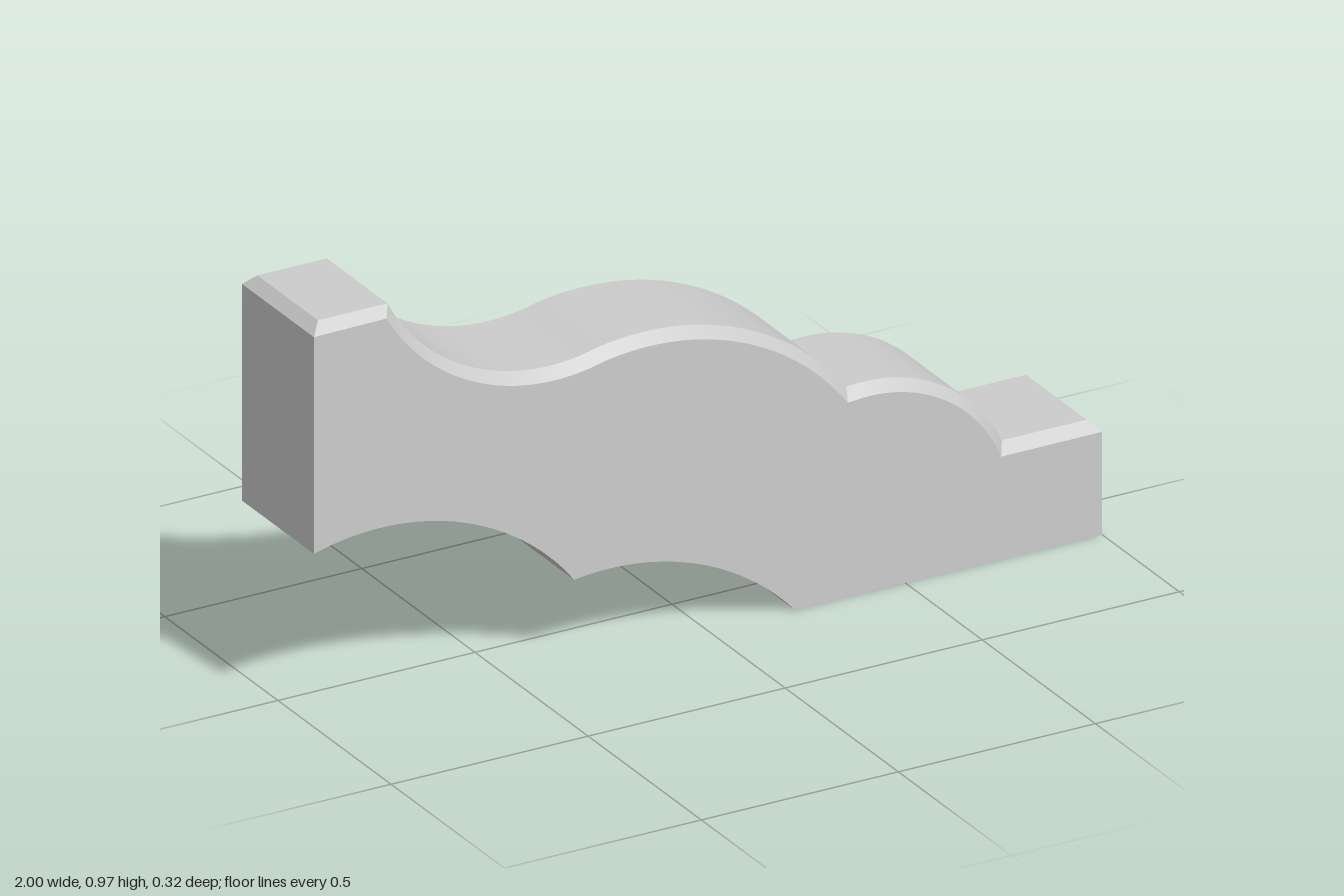
import * as THREE from 'three';
import { toCreasedNormals } from 'three/addons/utils/BufferGeometryUtils.js';

const HALF = 0.159;   // half thickness
const BEVEL = 0.025;  // chamfer along the upper edge

// Points on a circle's upper (side 1) or lower (side -1) half, from x0 to x1
function arc(cx, cy, r, x0, x1, side = 1, n = 28) {
  const a0 = Math.acos((x0 - cx) / r), a1 = Math.acos((x1 - cx) / r);
  return Array.from({ length: n + 1 }, (_, i) => {
    const a = a0 + (a1 - a0) * i / n;
    return [cx + r * Math.cos(a), cy + side * r * Math.sin(a)];
  });
}

// Upper profile, left to right: hollow, large round, small round, with flats at both ends
function topProfile(inset, endX, breaks) {
  const [x0, x1, x2, x3] = breaks;
  return [
    [-endX, 0.973 - inset],
    ...arc(-0.39, 1.186, 0.461 + inset, x0, x1, -1),
    ...arc(-0.15, 0.10, 0.652 - inset, x1, x2).slice(1),
    ...arc(0.41, 0.115, 0.385 - inset, x2, x3).slice(1),
    [endX, 0.275 - inset],
  ];
}

export function createModel() {
  const top = topProfile(0, 1 - BEVEL, [-0.799, -0.291, 0.365, 0.76]);
  const rim = topProfile(BEVEL, 1, [-0.815, -0.285, 0.355, 0.744]);

  // Ends and scalloped underside, right to left
  const under = [
    rim[rim.length - 1],
    [1, 0],
    ...arc(-0.25, -0.421, 0.631, 0.22, -0.34),
    ...arc(-0.83, -0.175, 0.62, -0.34, -1).slice(1),
    rim[0],
  ];

  const pos = [];
  // Band of quads joining a row at depth zA to a row at depth zB
  function strip(rowA, zA, rowB, zB) {
    for (let i = 0; i < rowA.length - 1; i++) {
      const a = [...rowA[i], zA], b = [...rowA[i + 1], zA];
      const c = [...rowB[i + 1], zB], d = [...rowB[i], zB];
      pos.push(...a, ...b, ...c, ...a, ...c, ...d);
    }
  }

  // Upper surface with its front and back chamfers, then the underside
  const inner = HALF - BEVEL;
  strip(rim, HALF, top, inner);
  strip(top, inner, top, -inner);
  strip(top, -inner, rim, -HALF);
  strip(under, HALF, under, -HALF);

  // Chamfers at the two ends
  function endChamfer(p, zp, q, zq) {
    const a = [...p, zp], b = [...q, zq], c = [...q, -zq], d = [...p, -zp];
    pos.push(...a, ...b, ...c, ...a, ...c, ...d);
  }
  endChamfer(rim[0], HALF, top[0], inner);
  endChamfer(top[top.length - 1], inner, rim[rim.length - 1], HALF);

  // Flat front and back faces
  const outline = [...rim, ...under.slice(1, -1)].map(([x, y]) => new THREE.Vector2(x, y));
  const face = new THREE.ShapeGeometry(new THREE.Shape(outline)).toNonIndexed().getAttribute('position');
  const corner = (i, z) => [face.getX(i), face.getY(i), z];
  for (let i = 0; i < face.count; i += 3) {
    pos.push(...corner(i, HALF), ...corner(i + 1, HALF), ...corner(i + 2, HALF));
    pos.push(...corner(i, -HALF), ...corner(i + 2, -HALF), ...corner(i + 1, -HALF));
  }

  const geometry = new THREE.BufferGeometry();
  geometry.setAttribute('position', new THREE.Float32BufferAttribute(pos, 3));
  const bracket = new THREE.Mesh(
    toCreasedNormals(geometry, 0.4),
    new THREE.MeshStandardMaterial({ color: 0xcccccc })
  );
  bracket.name = 'scrolledBracket';

  const group = new THREE.Group();
  group.name = 'bracket';
  group.add(bracket);
  return group;
}
